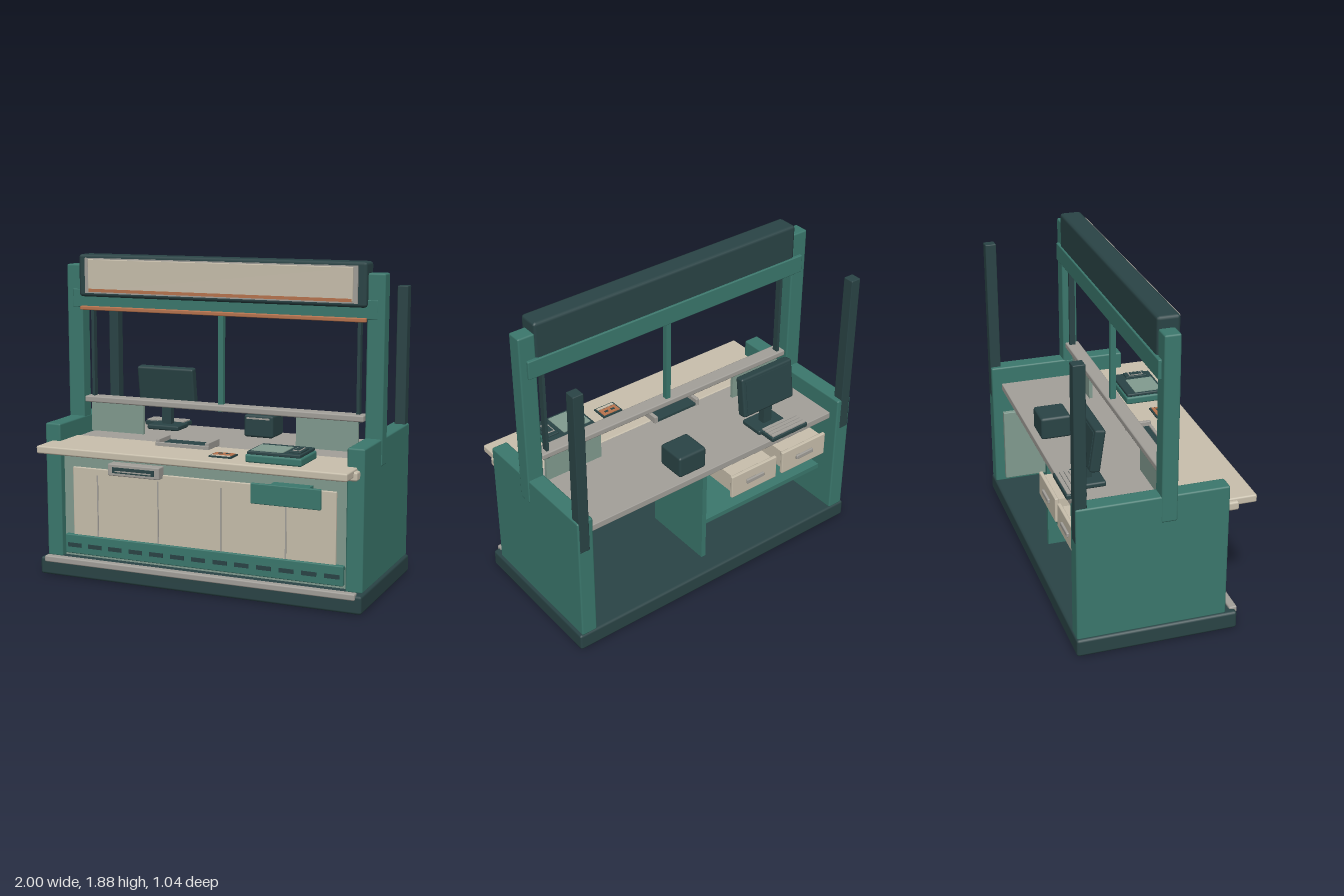
import * as THREE from 'three';
import { RoundedBoxGeometry } from 'three/addons/geometries/RoundedBoxGeometry.js';

const material = (name, color) => {
  const m = new THREE.MeshStandardMaterial({ color });
  m.name = name;
  return m;
};

export function createModel() {
  const teal = material('teal', 0x3b786d);
  const dark = material('dark teal', 0x2a4446);
  const pale = material('pale green', 0x829c90);
  const beige = material('beige', 0xc9c0ad);
  const gray = material('warm gray', 0xa3a09a);
  const copper = material('copper', 0xb8744e);

  const model = new THREE.Group();
  model.name = 'serviceCounter';

  // Box given by its limits on each axis, with an optional bevel
  function box(name, mat, [x0, x1], [y0, y1], [z0, z1], bevel = 0, parent = model) {
    const w = x1 - x0, h = y1 - y0, d = z1 - z0;
    const geometry = bevel
      ? new RoundedBoxGeometry(w, h, d, 1, bevel)
      : new THREE.BoxGeometry(w, h, d);
    const mesh = new THREE.Mesh(geometry, mat);
    mesh.name = name;
    mesh.position.set((x0 + x1) / 2, (y0 + y1) / 2, (z0 + z1) / 2);
    parent.add(mesh);
    return mesh;
  }
  const group = (name) => {
    const g = new THREE.Group();
    g.name = name;
    model.add(g);
    return g;
  };
  // The same box on both sides
  const pair = (name, mat, [x0, x1], y, z, bevel) => {
    box(name + 'Left', mat, [x0, x1], y, z, bevel);
    box(name + 'Right', mat, [-x1, -x0], y, z, bevel);
  };

  // Base, foot rail and walls
  box('base', dark, [-1, 1], [0, 0.105], [-0.52, 0.41], 0.015);
  box('footRail', gray, [-0.965, 0.965], [0.08, 0.118], [0.375, 0.422], 0.008);
  pair('sideWall', teal, [0.885, 0.985], [0.1, 0.905], [-0.515, 0.345], 0.01);
  pair('frontPost', teal, [0.887, 0.99], [0.75, 1.82], [-0.045, 0.047], 0.01);
  pair('rearPost', dark, [0.912, 0.976], [0.7, 1.715], [-0.517, -0.45], 0.005);

  // Front cladding
  box('frontPanel', pale, [-0.886, 0.886], [0.1, 0.765], [0.27, 0.3]);
  box('frontCladding', beige, [-0.82, 0.82], [0.2, 0.65], [0.3, 0.318], 0.005);
  for (let i = 0; i < 4; i++) {
    const x = -0.655 + i * 0.394;
    box('claddingGroove', gray, [x - 0.004, x + 0.004], [0.24, 0.61], [0.317, 0.321]);
  }
  box('kickPanel', teal, [-0.87, 0.87], [0.125, 0.24], [0.3, 0.335], 0.006);
  for (let i = 0; i < 13; i++) {
    const x = -0.806 + i * 0.1343;
    box('kickVent', dark, [x - 0.044, x + 0.044], [0.165, 0.19], [0.334, 0.338]);
  }

  // Slot with a dark opening, and the hanging front plate
  box('slotFrame', gray, [-0.56, -0.23], [0.63, 0.7], [0.3, 0.37], 0.006);
  box('slotOpening', dark, [-0.53, -0.26], [0.648, 0.682], [0.369, 0.373]);
  box('slotLip', gray, [-0.51, -0.28], [0.656, 0.663], [0.372, 0.376]);
  box('plateMount', teal, [0.45, 0.68], [0.605, 0.67], [0.3, 0.405]);
  box('frontPlate', teal, [0.355, 0.765], [0.565, 0.68], [0.4, 0.424], 0.005);

  // Counter tops
  box('customerCounter', beige, [-0.945, 0.945], [0.757, 0.803], [0.125, 0.52], 0.01);
  box('counterSupport', beige, [-0.965, 0.965], [0.738, 0.79], [0.345, 0.41], 0.012);
  box('workSurface', gray, [-0.886, 0.886], [0.755, 0.797], [-0.455, 0.13], 0.005);

  // Screen rail, its panels and mullions
  box('screenRail', gray, [-0.88, 0.88], [0.993, 1.03], [-0.035, 0.052], 0.008);
  box('screenPanelRight', pale, [-0.85, -0.5], [0.815, 0.995], [0, 0.02]);
  box('screenPanelLeft', pale, [0.47, 0.84], [0.815, 0.995], [0, 0.02]);
  box('centreMullion', teal, [-0.016, 0.016], [0.985, 1.58], [-0.016, 0.016]);
  pair('sideMullion', dark, [0.827, 0.845], [0.98, 1.58], [-0.018, 0.018]);

  // Header with sign board
  box('headerBeam', teal, [-0.95, 0.95], [1.565, 1.675], [-0.063, 0.05], 0.006);
  box('headerCase', dark, [-0.893, 0.893], [1.632, 1.882], [-0.052, 0.078], 0.018);
  box('signFrame', gray, [-0.845, 0.845], [1.655, 1.862], [0.07, 0.088]);
  box('signBoard', beige, [-0.82, 0.82], [1.665, 1.855], [0.08, 0.098], 0.004);
  box('signStrip', copper, [-0.815, 0.815], [1.664, 1.682], [0.09, 0.102]);
  box('headerStrip', copper, [-0.89, 0.89], [1.552, 1.575], [0.045, 0.074], 0.005);

  // Storage under the work surface
  box('divider', teal, [0.015, 0.045], [0.1, 0.757], [-0.4, 0.06]);
  box('storageShelf', teal, [-0.886, 0.02], [0.34, 0.37], [-0.39, 0.1]);
  box('wallLining', pale, [0.855, 0.887], [0.13, 0.6], [-0.455, -0.04], 0.004);
  for (const x of [-0.28, -0.665]) {
    const drawer = group('drawer');
    box('drawerBody', beige, [x - 0.15, x + 0.15], [0.55, 0.665], [-0.465, -0.15], 0, drawer);
    box('drawerFront', beige, [x - 0.17, x + 0.17], [0.53, 0.68], [-0.48, -0.457], 0.006, drawer);
    box('drawerHandle', gray, [x - 0.065, x + 0.065], [0.595, 0.622], [-0.494, -0.478], 0.005, drawer);
  }

  // Monitor on its stand, screen toward the rear
  const monitor = group('monitor');
  box('monitorBase', dark, [-0.6, -0.39], [0.797, 0.828], [-0.38, -0.225], 0.01, monitor);
  box('monitorNeck', dark, [-0.525, -0.465], [0.82, 1], [-0.33, -0.285], 0, monitor);
  const head = new THREE.Group();
  head.name = 'monitorHead';
  head.position.set(-0.492, 1.06, -0.298);
  head.rotation.x = 0.14;
  monitor.add(head);
  box('monitorCase', dark, [-0.188, 0.188], [-0.125, 0.125], [-0.03, 0.03], 0.012, head);
  box('monitorScreen', dark, [-0.165, 0.165], [-0.1, 0.105], [-0.034, -0.028], 0, head);

  // Keyboard with rows of keys
  const keyboard = group('keyboard');
  box('keyboardBody', dark, [-0.68, -0.41], [0.797, 0.825], [-0.478, -0.36], 0.006, keyboard);
  for (let i = 0; i < 4; i++) {
    const z = -0.458 + i * 0.026;
    box('keyRow', gray, [-0.67, -0.42], [0.824, 0.832], [z - 0.011, z + 0.011], 0, keyboard);
  }

  // Receipt printer
  box('printer', dark, [0.04, 0.228], [0.797, 0.933], [-0.42, -0.238], 0.015);
  box('printerSlot', gray, [0.06, 0.208], [0.908, 0.918], [-0.239, -0.235]);

  // Pass-through tray
  const tray = group('tray');
  box('trayFloor', dark, [-0.295, 0.01], [0.8, 0.815], [0.09, 0.235], 0, tray);
  box('traySideRight', gray, [-0.312, -0.288], [0.8, 0.842], [0.085, 0.24], 0.003, tray);
  box('traySideLeft', gray, [0, 0.024], [0.8, 0.842], [0.085, 0.24], 0.003, tray);
  box('trayFront', gray, [-0.312, 0.024], [0.8, 0.824], [0.224, 0.242], 0.003, tray);

  // Small pad with a copper face
  box('padBody', dark, [0.1, 0.235], [0.8, 0.812], [0.31, 0.412]);
  box('padFace', copper, [0.11, 0.225], [0.811, 0.816], [0.32, 0.38]);
  box('padLabel', beige, [0.11, 0.225], [0.811, 0.815], [0.386, 0.404]);
  for (const x of [0.145, 0.19]) box('padMark', dark, [x - 0.012, x + 0.012], [0.815, 0.818], [0.34, 0.355]);

  // Payment terminal
  const terminal = group('terminal');
  box('terminalBody', teal, [0.335, 0.665], [0.8, 0.848], [0.2, 0.457], 0.012, terminal);
  box('terminalTop', dark, [0.345, 0.655], [0.845, 0.865], [0.208, 0.448], 0.006, terminal);
  box('terminalScreen', pale, [0.362, 0.55], [0.864, 0.869], [0.262, 0.43], 0, terminal);
  box('terminalKeypad', dark, [0.575, 0.645], [0.862, 0.875], [0.275, 0.41], 0.004, terminal);
  box('keypadFrame', gray, [0.588, 0.632], [0.874, 0.878], [0.3, 0.39], 0, terminal);
  box('keypadFace', dark, [0.595, 0.625], [0.877, 0.88], [0.307, 0.383], 0, terminal);

  return model;
}
